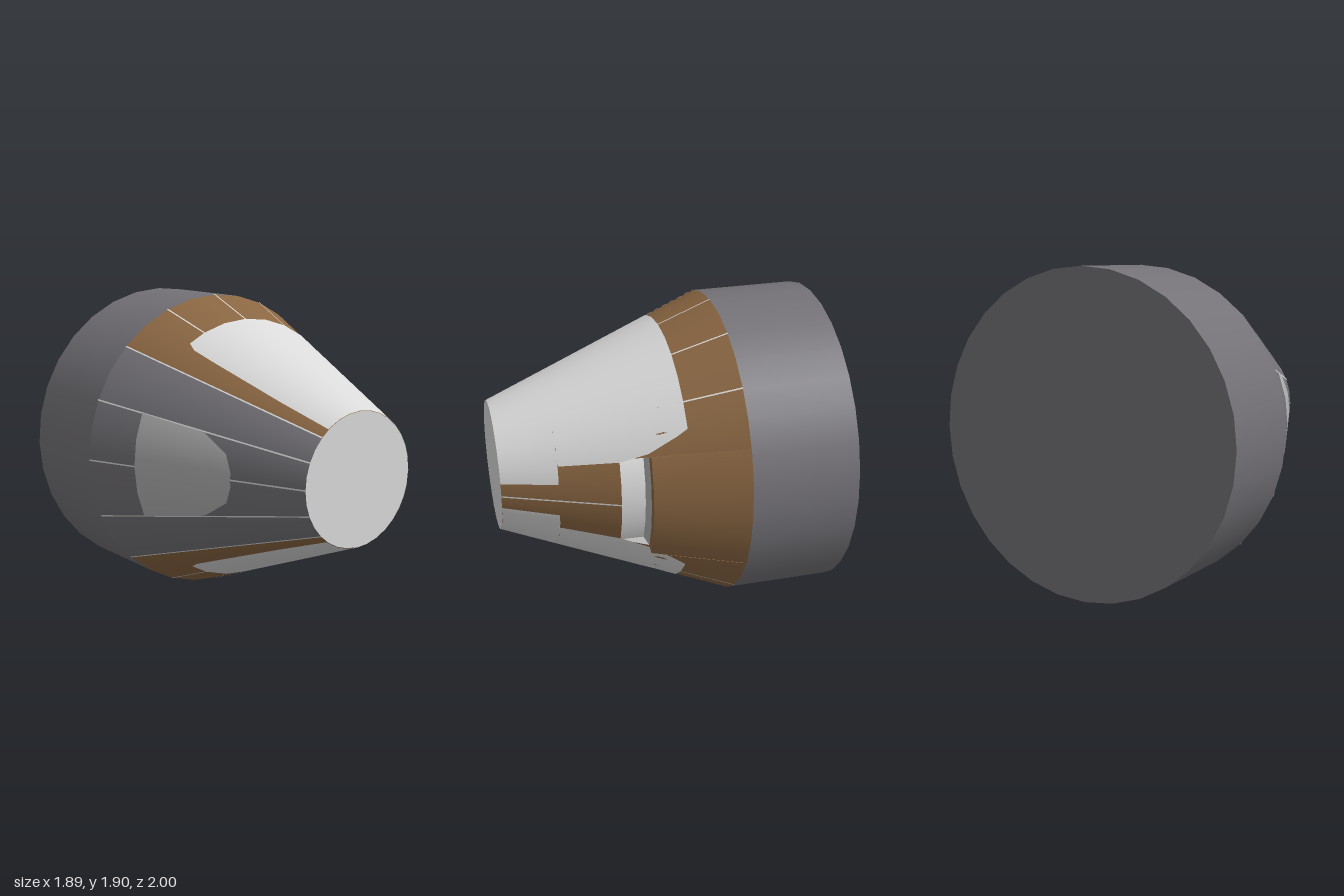
import * as THREE from 'three';

const CY = 0.945, R = 0.945, TIP = 0.395, SHOULDER = -0.36;
const FACET = Math.PI / 16, RAD = Math.PI / 180;
const coneR = z => TIP + (1 - z) * (R - TIP) / (1 - SHOULDER);

// radius factor that follows a 32-sided outline
function facetScale(a) {
  const m = a - Math.floor(a / FACET) * FACET - FACET / 2;
  return Math.cos(FACET / 2) / Math.cos(m);
}

// curved panel; rows run front to back as [z, startDeg, endDeg, radius]
function panel(rows, lift = 0, steps = 48) {
  const pos = [], nor = [], idx = [];
  const rad = r => r[3] ?? coneR(r[0]);
  const first = rows[0], last = rows[rows.length - 1];
  const n = new THREE.Vector2(first[0] - last[0], rad(last) - rad(first)).normalize();
  rows.forEach((row, i) => {
    for (let j = 0; j <= steps; j++) {
      const a = (row[1] + (row[2] - row[1]) * j / steps) * RAD;
      const r = rad(row) * facetScale(a) + lift;
      pos.push(r * Math.cos(a), r * Math.sin(a), row[0]);
      nor.push(n.x * Math.cos(a), n.x * Math.sin(a), n.y);
      if (i && j) {
        const d = i * (steps + 1) + j, c = d - 1, b = d - steps - 1, p = b - 1;
        idx.push(p, c, b, b, c, d);
      }
    }
  });
  const g = new THREE.BufferGeometry();
  g.setAttribute('position', new THREE.Float32BufferAttribute(pos, 3));
  g.setAttribute('normal', new THREE.Float32BufferAttribute(nor, 3));
  g.setIndex(idx);
  return g;
}

// radial wall at one angle; rows are [z, innerRadius, outerRadius]
function sideWall(deg, rows) {
  const pos = [], idx = [], a = deg * RAD;
  rows.forEach(([z, r0, r1], i) => {
    for (const r of [r0, r1]) pos.push(r * Math.cos(a), r * Math.sin(a), z);
    if (i) idx.push(2 * i - 2, 2 * i, 2 * i - 1, 2 * i - 1, 2 * i, 2 * i + 1);
  });
  const g = new THREE.BufferGeometry();
  g.setAttribute('position', new THREE.Float32BufferAttribute(pos, 3));
  g.setIndex(idx);
  g.computeVertexNormals();
  return g;
}

const flip = rows => rows.map(([z, a, b, r]) => [z, -b, -a, r]);

export function createModel() {
  const group = new THREE.Group();
  const mat = (name, color) => {
    const m = new THREE.MeshStandardMaterial({ color, side: THREE.DoubleSide });
    m.name = name;
    return m;
  };
  const grey = mat('darkGrey', 0x747277), brown = mat('brown', 0x8a6642);
  const light = mat('lightGrey', 0xdadada), mid = mat('midGrey', 0xb2b2b2);
  const add = (name, geometry, material) => {
    const m = new THREE.Mesh(geometry, material);
    m.name = name;
    m.position.y = CY;
    group.add(m);
    return m;
  };

  // rear drum and nose disc
  const drum = new THREE.CylinderGeometry(R, R, 0.64, 32);
  drum.rotateX(Math.PI / 2);
  drum.translate(0, 0, -0.68);
  add('rearDrum', drum, grey);
  const disc = new THREE.CircleGeometry(TIP, 32);
  disc.translate(0, 0, 1);
  add('noseDisc', disc, light);

  // cone shell, left open for the intake recess
  const H = 24, Z0 = 0.34, Z1 = 0.18;
  const shell = [[1, H, 135], [SHOULDER, H, 135]];
  add('upperShell', panel(shell, 0, 148), brown);
  add('lowerShell', panel(flip(shell), 0, 148), brown);
  add('noseShell', panel([[1, -H, H], [Z0, -H, H]]), brown);
  add('sideShell', panel([[1, 135, 225], [SHOULDER, 135, 225]], 0, 64), grey);

  // raised hood behind the recess
  add('hood', panel([[Z1, -H, H, 0.785], [SHOULDER, -H, H, R]]), brown);
  add('hoodLip', panel([[Z1, -H, H, 0.73], [Z1, -H, H, 0.785]]), brown);

  // intake recess
  add('recessFloor', panel([[Z0, -H, H, coneR(Z0)], [0.2, -H, H, 0.665]]), light);
  add('recessBack', panel([[0.2, -H, H, 0.665], [Z1, -H, H, 0.73]]), mid);
  for (const s of [-1, 1]) {
    add('hoodSide', sideWall(s * H, [[Z1, coneR(Z1), 0.785], [SHOULDER, R, R]]), brown);
    add('recessSide', sideWall(s * H, [[Z0, 0.655, coneR(Z0)], [Z1, 0.665, coneR(Z1)]]), mid);
  }

  // large pale panels above and below
  const pale = [
    [1, 11.7, 126], [0.68, 11.2, 125.2], [0.675, 23, 125.2], [Z0, 22.6, 124],
    [Z1, 25.5, 123.6], [0.02, 31.5, 123], [-0.04, 34, 121],
  ];
  add('upperPalePanel', panel(pale, 0.003, 128), light);
  add('lowerPalePanel', panel(flip(pale), 0.003, 128), light);

  // hatch on the grey side
  add('sideHatch', panel([
    [0.56, 176, 184], [0.52, 166, 194], [0.36, 158, 202], [-0.05, 157.5, 202.5],
  ], 0.004), mid);

  // thin seams along the cone
  const seam = (deg, z0, z1, w = 0.0045) => {
    const row = z => [z, deg - w / coneR(z) / RAD, deg + w / coneR(z) / RAD];
    add('seam', panel([row(z0), row(z1)], 0.003, 2), light);
  };
  for (const a of [45, 67.5, 90, 112.5]) for (const s of [-1, 1]) seam(a * s, -0.04, SHOULDER);
  for (const a of [135, 157.5, 202.5, 225]) seam(a, 1, SHOULDER);
  seam(180, 1, 0.56);
  seam(180, -0.05, SHOULDER);
  seam(0, 1, Z0);

  return group;
}
